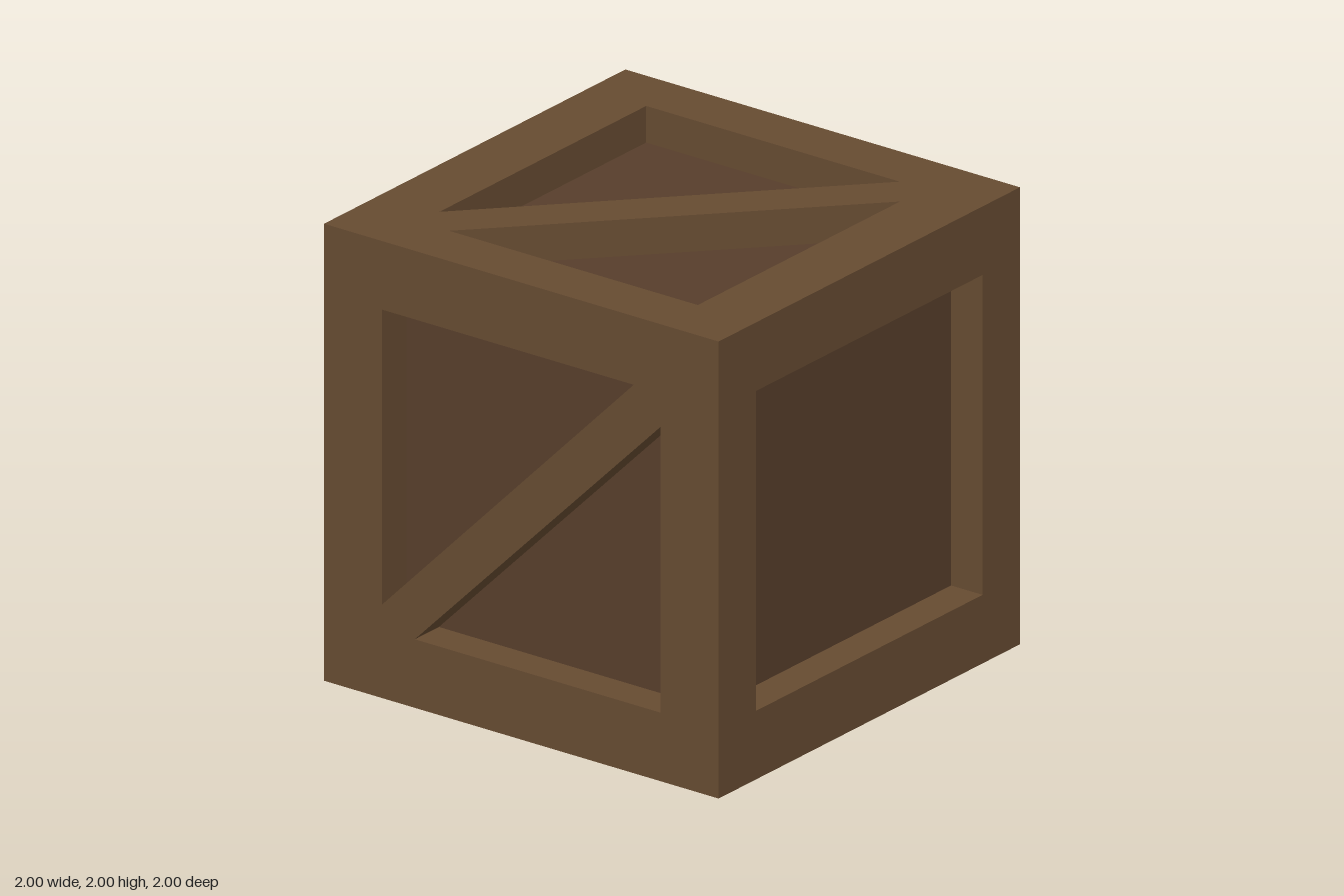
import * as THREE from 'three';

const frameMat = new THREE.MeshStandardMaterial({ color: 0x664b31 });
const panelMat = new THREE.MeshStandardMaterial({ color: 0x573e2b });

// Half-sizes of the openings and depth of the recessed panels
const OX = 0.705, OY = 0.7, OZ = 0.752, DEPTH = 0.16;

function box(name, size, pos, mat) {
  const mesh = new THREE.Mesh(new THREE.BoxGeometry(...size), mat);
  mesh.position.set(...pos);
  mesh.name = name;
  return mesh;
}

// Diagonal plank from lower left to upper right, cut to fit an opening of half-size w, h.
// leftY and topX end its upper edge; bottomX and rightY end its lower edge.
function brace(name, w, h, leftY, topX, bottomX, rightY) {
  const shape = new THREE.Shape([
    [-w, -h], [bottomX, -h], [w, rightY], [w, h], [topX, h], [-w, leftY],
  ].map(([x, y]) => new THREE.Vector2(x, y)));
  const geo = new THREE.ExtrudeGeometry(shape, { depth: DEPTH, bevelEnabled: false });
  geo.translate(0, 0, 1 - DEPTH);
  const mesh = new THREE.Mesh(geo, frameMat);
  mesh.name = name;
  mesh.position.y = 1;
  return mesh;
}

export function createModel() {
  const crate = new THREE.Group();
  crate.name = 'crate';

  // Recessed panels: one inner box shows through every opening
  const inner = 2 * (1 - DEPTH);
  crate.add(box('innerPanels', [inner, inner, inner], [0, 1, 0], panelMat));

  // Frame beams along the twelve edges
  const frame = new THREE.Group();
  frame.name = 'frame';
  const tx = 1 - OX, ty = 1 - OY, tz = 1 - OZ;
  const cx = (1 + OX) / 2, cy = (1 + OY) / 2, cz = (1 + OZ) / 2;
  for (const a of [-1, 1]) {
    for (const b of [-1, 1]) {
      frame.add(box('cornerPost', [tx, 2, tz], [a * cx, 1, b * cz], frameMat));
      frame.add(box('crossRail', [2 * OX, ty, tz], [0, 1 + a * cy, b * cz], frameMat));
      frame.add(box('sideRail', [tx, ty, 2 * OZ], [a * cx, 1 + b * cy, 0], frameMat));
    }
  }
  crate.add(frame);

  // Diagonal braces on the front, back and top
  const front = brace('frontBrace', OX, OY, -0.59, 0.57, -0.54, 0.55);
  const back = brace('backBrace', OX, OY, -0.57, 0.565, -0.56, 0.55);
  back.rotation.y = Math.PI;
  const top = brace('topBrace', OX, OZ, -0.62, 0.58, -0.555, 0.59);
  top.rotation.x = -Math.PI / 2;
  crate.add(front, back, top);

  return crate;
}
